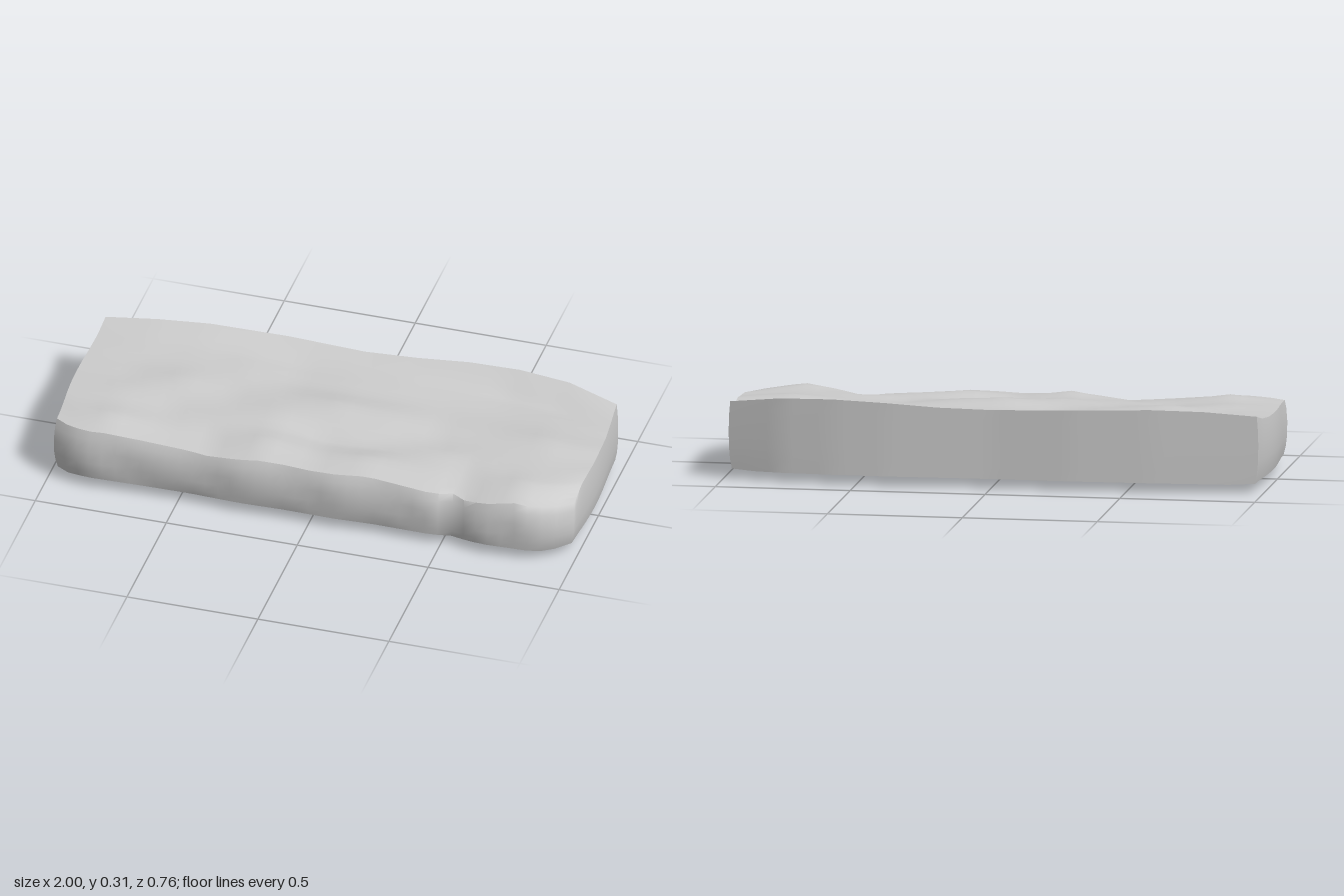
import * as THREE from 'three';
import { mergeVertices, toCreasedNormals } from 'three/addons/utils/BufferGeometryUtils.js';

const NX = 40, NZ = 20;

// Plan outline: z of the back and front edges along x
const BACK = [[-1, -0.315], [-0.6, -0.355], [-0.3, -0.37], [0, -0.365], [0.4, -0.384], [0.6, -0.38], [0.8, -0.36], [1, -0.31]];
const FRONT = [[-1, 0.325], [-0.95, 0.355], [-0.87, 0.378], [-0.65, 0.365], [-0.47, 0.36], [-0.27, 0.377], [-0.1, 0.366], [0.1, 0.372],
  [0.25, 0.356], [0.48, 0.362], [0.55, 0.332], [0.62, 0.365], [0.7, 0.376], [0.85, 0.362], [0.94, 0.32], [1, 0.26]];
// Underside height along z
const UNDER = [[-0.39, 0.036], [-0.15, 0.018], [0, 0.004], [0.26, 0], [0.38, 0.048]];
// Weathered top: heights at 11 even x stations for each depth fraction (0 back, 1 front)
const TOP = [
  [0, [.285, .30, .305, .30, .295, .29, .295, .308, .315, .31, .285]],
  [.15, [.262, .275, .278, .27, .258, .265, .268, .262, .252, .252, .26]],
  [.3, [.252, .255, .265, .27, .252, .255, .252, .25, .25, .255, .25]],
  [.45, [.25, .25, .27, .255, .265, .278, .265, .248, .255, .27, .255]],
  [.58, [.25, .257, .245, .25, .268, .263, .258, .238, .25, .255, .25]],
  [.69, [.25, .252, .238, .25, .25, .226, .23, .248, .25, .252, .25]],
  [.85, [.245, .265, .24, .228, .262, .238, .253, .24, .228, .262, .24]],
  [1, [.24, .245, .23, .216, .238, .23, .238, .222, .205, .238, .205]],
];

function along(points, t) {
  let k = 0;
  while (k < points.length - 2 && t > points[k + 1][0]) k++;
  const [a, b] = [points[k], points[k + 1]];
  const f = THREE.MathUtils.clamp((t - a[0]) / (b[0] - a[0]), 0, 1);
  return a[1] + (b[1] - a[1]) * f;
}

const topHeight = (x, v) => along(TOP.map(([d, row]) =>
  [d, along(row.map((h, i) => [-1 + i * 0.2, h]), x)]), v);

// Plan position of a grid point; the ends waver slightly
function plan(i, j) {
  const s = -1 + 2 * i / NX, v = j / NZ;
  const z = THREE.MathUtils.lerp(along(BACK, s), along(FRONT, s), v);
  const x = s * (0.99 + 0.008 * Math.cos(z * 9) * Math.abs(s));
  return { s, v, x, z };
}

function underHeight(s, z) {
  return Math.max(along(UNDER, z), 0.036 * THREE.MathUtils.smoothstep(Math.abs(s), 0.7, 1));
}

function stoneGeometry() {
  const pos = [], index = [];
  const add = (x, y, z) => pos.push(x, y, z) / 3 - 1;
  const quad = (a, b, c, d) => index.push(a, b, c, a, c, d);

  // Rounded wall point, t from 0 at the base to 1 at the rim
  function wallPoint(i, j, t) {
    const p = plan(i, j);
    const y0 = underHeight(p.s, p.z), y1 = topHeight(p.s, p.v);
    const bulge = Math.pow(Math.abs(2 * t - 1), 2.5);
    const dent = 0.008 * Math.sin(p.s * 17 + t * 3) * Math.sin(Math.PI * t);
    const front = THREE.MathUtils.smoothstep(p.v, 0.6, 1);
    const z = p.z - front * ((t > 0.5 ? 0.022 : 0.012) * bulge + Math.max(0, dent));
    const x = p.x * (1 - (t > 0.5 ? 0.006 : 0.012) * bulge);
    return [x, THREE.MathUtils.lerp(y0, y1, t), z];
  }

  // Top and underside
  for (const t of [1, 0]) {
    const grid = [];
    for (let i = 0; i <= NX; i++) {
      grid.push([]);
      for (let j = 0; j <= NZ; j++) grid[i].push(add(...wallPoint(i, j, t)));
    }
    for (let i = 0; i < NX; i++) for (let j = 0; j < NZ; j++) {
      const [a, b, c, d] = [grid[i][j], grid[i][j + 1], grid[i + 1][j + 1], grid[i + 1][j]];
      if (t) quad(a, b, c, d); else quad(a, d, c, b);
    }
  }

  // Walls around the rim
  const rim = [];
  for (let j = 0; j < NZ; j++) rim.push([0, j]);
  for (let i = 0; i < NX; i++) rim.push([i, NZ]);
  for (let j = NZ; j > 0; j--) rim.push([NX, j]);
  for (let i = NX; i > 0; i--) rim.push([i, 0]);
  const rings = [0, 0.15, 0.35, 0.6, 0.85, 1].map(t => rim.map(([i, j]) => add(...wallPoint(i, j, t))));
  for (let r = 0; r < rings.length - 1; r++) rim.forEach((_, k) => {
    const n = (k + 1) % rim.length;
    quad(rings[r][k], rings[r][n], rings[r + 1][n], rings[r + 1][k]);
  });

  const g = new THREE.BufferGeometry();
  g.setAttribute('position', new THREE.Float32BufferAttribute(pos, 3));
  g.setIndex(index);
  return toCreasedNormals(mergeVertices(g, 1e-5), 0.9);
}

export function createModel() {
  const group = new THREE.Group();
  group.name = 'stoneSlab';
  const stone = new THREE.MeshStandardMaterial({ color: 0xcccccc });
  stone.name = 'pale grey stone';
  const slab = new THREE.Mesh(stoneGeometry(), stone);
  slab.name = 'slab';
  group.add(slab);
  return group;
}
